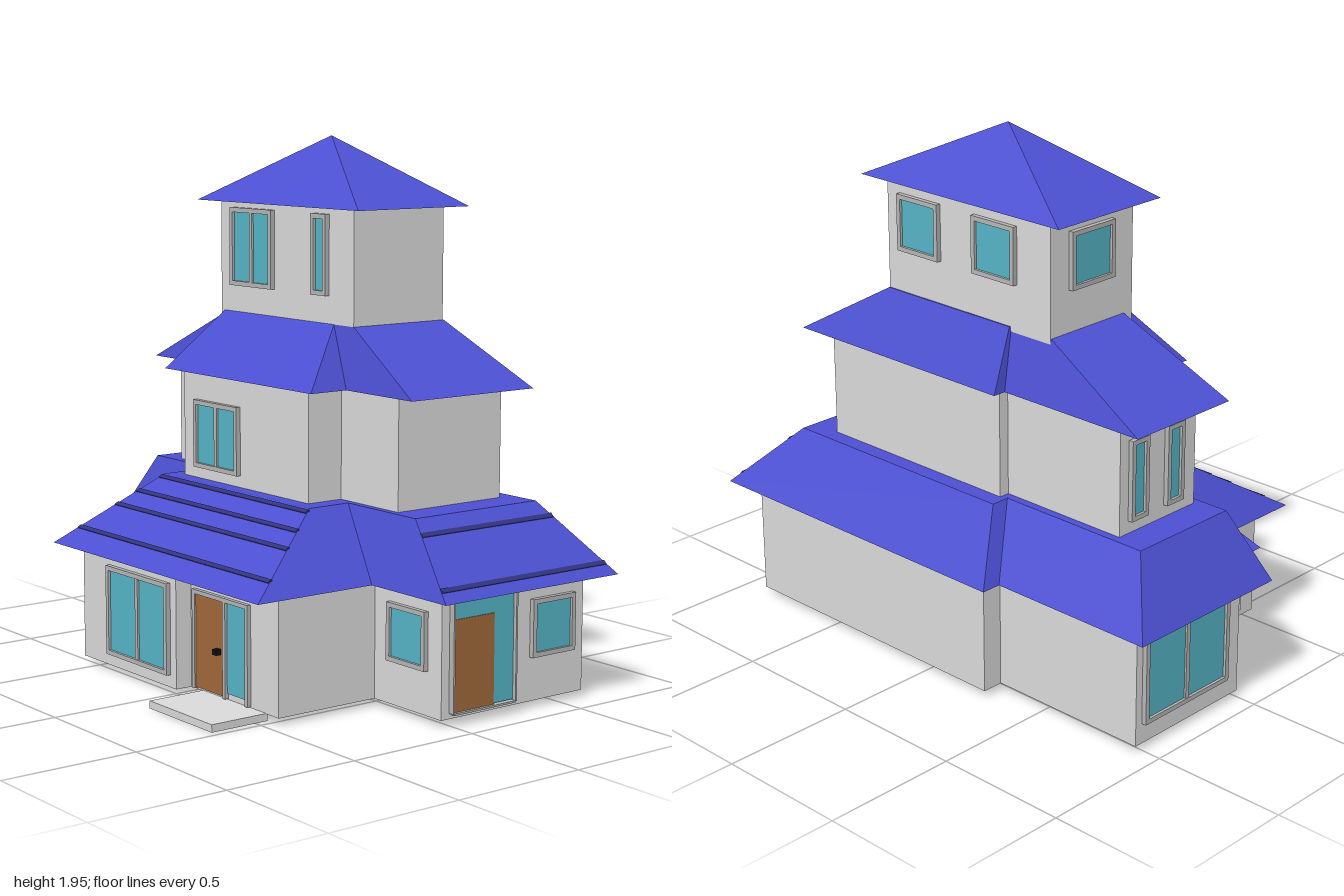
import * as THREE from 'three';

const mat = (name, hex) => {
  const m = new THREE.MeshStandardMaterial({ color: hex });
  m.name = name;
  return m;
};

export function createModel() {
  const wall = mat('pale wall', 0xdadada);
  const roof = mat('blue roof', 0x4c50d2);
  const seam = mat('dark roof seam', 0x32347f);
  const soffit = mat('gold soffit', 0xb89010);
  const frame = mat('grey frame', 0xb6b6b6);
  const glass = mat('teal glass', 0x56b4c6);
  const wood = mat('brown door', 0xa0683a);
  const black = mat('black handle', 0x111111);

  const model = new THREE.Group();
  model.name = 'house';

  const add = (parent, name, geo, material) => {
    const m = new THREE.Mesh(geo, material);
    m.name = name;
    parent.add(m);
    return m;
  };

  // Box given by its limits on each axis
  const block = (parent, name, material, x0, x1, y0, y1, z0, z1) => {
    const m = add(parent, name, new THREE.BoxGeometry(x1 - x0, y1 - y0, z1 - z0), material);
    m.position.set((x0 + x1) / 2, (y0 + y1) / 2, (z0 + z1) / 2);
    return m;
  };

  // Hipped roof: eave rectangle below, smaller rectangle (or point) above.
  // Rectangles are [x0, x1, z0, z1]; the underside may have its own colour.
  const hip = (name, y0, y1, eave, top, under = roof) => {
    const geo = new THREE.BoxGeometry(1, 1, 1);
    const p = geo.attributes.position;
    for (let i = 0; i < p.count; i++) {
      const up = p.getY(i) > 0;
      const r = up ? top : eave;
      p.setXYZ(i, p.getX(i) < 0 ? r[0] : r[1], up ? y1 : y0, p.getZ(i) < 0 ? r[2] : r[3]);
    }
    const flat = geo.toNonIndexed();
    flat.computeVertexNormals();
    // toNonIndexed keeps triangles in box order, six vertices to each face
    flat.clearGroups();
    for (let f = 0; f < 6; f++) flat.addGroup(f * 6, 6, f === 3 ? 1 : 0);
    // both triangles of a face share the normal of the larger one
    const n = flat.attributes.normal;
    for (let f = 0; f < 6; f++) {
      const a = f * 6;
      const src = n.getX(a) ** 2 + n.getY(a) ** 2 + n.getZ(a) ** 2 > 0.5 ? a : a + 3;
      for (let k = 0; k < 6; k++) n.setXYZ(a + k, n.getX(src), n.getY(src), n.getZ(src));
    }
    return add(model, name, flat, [roof, under]);
  };

  // Group on a wall, with its own +z pointing out of the wall
  const turns = { front: 0, right: Math.PI / 2, back: Math.PI, left: -Math.PI / 2 };
  const onWall = (name, side, x, y, z) => {
    const g = new THREE.Group();
    g.name = name;
    g.position.set(x, y, z);
    g.rotation.y = turns[side];
    model.add(g);
    return g;
  };

  // Framed window with evenly split panes
  const windowUnit = (name, side, x, y, z, w, h, panes = 1) => {
    const g = onWall(name, side, x, y, z);
    const b = 0.017, d = 0.018;
    block(g, 'glass', glass, -w / 2 + b, w / 2 - b, -h / 2 + b, h / 2 - b, 0, 0.008);
    for (const s of [-1, 1]) {
      const fx = s * (w - b) / 2, fy = s * (h - b) / 2;
      block(g, 'frameSide', frame, fx - b / 2, fx + b / 2, -h / 2, h / 2, -0.005, d);
      block(g, 'frameRail', frame, -w / 2 + b, w / 2 - b, fy - b / 2, fy + b / 2, -0.005, d);
    }
    for (let i = 1; i < panes; i++) {
      const mx = -w / 2 + (w * i) / panes;
      block(g, 'mullion', frame, mx - b / 2, mx + b / 2, -h / 2 + b, h / 2 - b, 0, d - 0.003);
    }
    return g;
  };

  // Ground floor walls
  block(model, 'groundFrontWalls', wall, -0.04, 0.61, 0.025, 0.455, -0.29, 0.89);
  block(model, 'groundBackWalls', wall, 0, 0.53, 0.025, 0.455, -0.92, -0.28);
  block(model, 'wingWalls', wall, -0.52, -0.03, 0.025, 0.455, -0.57, 0.03);
  block(model, 'wingPorchWalls', wall, -0.455, -0.03, 0.025, 0.455, 0.02, 0.54);
  block(model, 'doorStep', wall, -0.68, -0.45, 0, 0.027, 0.1, 0.47);

  // Ground floor roofs
  hip('groundFrontRoof', 0.45, 0.69, [-0.12, 0.67, -0.35, 1.0], [-0.04, 0.51, -0.24, 0.75], soffit);
  hip('groundBackRoof', 0.45, 0.69, [-0.075, 0.595, -1.0, -0.2], [0, 0.44, -0.85, -0.2], soffit);
  hip('wingRoof', 0.45, 0.69, [-0.6, 0.1, -0.65, 0.62], [-0.21, 0.1, -0.49, 0.39], soffit);

  // Seams along the wing slope and the front slope
  for (const x of [-0.51, -0.38, -0.305, -0.225]) {
    const t = (x + 0.6) / 0.39;
    const z0 = -0.65 + 0.16 * t, z1 = 0.62 - 0.23 * t;
    const s = add(model, 'wingRoofSeam', new THREE.BoxGeometry(0.018, 0.006, z1 - z0), seam);
    s.position.set(x, 0.45 + 0.24 * t, (z0 + z1) / 2);
    s.rotation.z = Math.atan2(0.24, 0.39);
  }
  for (const z of [0.8, 0.96]) {
    const t = (1 - z) / 0.25;
    const x0 = -0.12 + 0.08 * t, x1 = 0.67 - 0.16 * t;
    const s = add(model, 'frontRoofSeam', new THREE.BoxGeometry(x1 - x0, 0.006, 0.018), seam);
    s.position.set((x0 + x1) / 2, 0.45 + 0.24 * t, z);
    s.rotation.x = Math.atan2(0.24, 0.25);
  }

  // Second floor walls and roofs
  block(model, 'secondFrontWalls', wall, -0.015, 0.45, 0.68, 1.1, -0.215, 0.63);
  block(model, 'secondBackWalls', wall, 0.03, 0.41, 0.68, 1.1, -0.73, -0.2);
  block(model, 'secondWingWalls', wall, -0.16, 0, 0.68, 1.1, -0.43, 0.32);
  hip('secondFrontRoof', 1.085, 1.3, [-0.05, 0.5, -0.24, 0.74], [-0.01, 0.4, -0.215, 0.38]);
  hip('secondBackRoof', 1.085, 1.3, [-0.01, 0.45, -0.84, -0.1], [0.03, 0.39, -0.4, -0.1]);
  hip('secondWingRoof', 1.085, 1.3, [-0.205, 0.1, -0.49, 0.39], [-0.01, 0.1, -0.38, 0.27]);

  // Third floor walls and pyramid roof
  block(model, 'thirdWalls', wall, -0.01, 0.395, 1.25, 1.71, -0.4, 0.38);
  hip('topRoof', 1.705, 1.945, [-0.065, 0.435, -0.475, 0.47], [0.222, 0.222, -0.04, -0.04], wall);

  // Front entrance: door, side light and transom in one frame
  const entry = onWall('frontEntrance', 'front', 0, 0, 0.89);
  block(entry, 'door', wood, 0, 0.185, 0.045, 0.365, 0, 0.012);
  block(entry, 'sideLight', glass, 0.185, 0.275, 0.05, 0.365, 0, 0.009);
  block(entry, 'transom', glass, 0, 0.275, 0.365, 0.425, 0, 0.009);
  for (const x of [-0.006, 0.275]) block(entry, 'jamb', frame, x, x + 0.007, 0.045, 0.435, 0, 0.023);
  block(entry, 'lintel', frame, 0, 0.275, 0.428, 0.435, 0, 0.023);
  block(entry, 'sill', frame, 0, 0.275, 0.04, 0.047, 0, 0.023);

  // Wing porch door, side light and handle
  block(model, 'porchDoor', wood, -0.464, -0.45, 0.035, 0.37, 0.07, 0.235);
  block(model, 'porchSideLight', glass, -0.462, -0.45, 0.05, 0.37, 0.255, 0.365);
  for (const z of [0.055, 0.237, 0.367])
    block(model, 'porchFrame', frame, -0.47, -0.45, 0.03, 0.385, z, z + 0.016);
  block(model, 'porchLintel', frame, -0.47, -0.45, 0.37, 0.385, 0.055, 0.383);
  block(model, 'porchHandle', black, -0.486, -0.46, 0.18, 0.2, 0.2, 0.222);

  // Ground floor windows
  windowUnit('frontWindow', 'front', 0.46, 0.283, 0.89, 0.2, 0.205);
  windowUnit('groundBackWindow', 'back', 0.285, 0.265, -0.92, 0.43, 0.33, 2);
  windowUnit('wingWindow', 'left', -0.52, 0.235, -0.2, 0.39, 0.33, 2);
  windowUnit('frontSideWindow', 'left', -0.04, 0.283, 0.72, 0.2, 0.205);

  // Bay window behind the wing, with its own small roof
  block(model, 'bayBase', wall, -0.37, -0.145, 0.1, 0.17, -0.635, -0.56);
  windowUnit('bayWindow', 'back', -0.257, 0.27, -0.57, 0.225, 0.2, 2);
  hip('bayRoof', 0.37, 0.45, [-0.385, -0.13, -0.705, -0.56], [-0.33, -0.185, -0.6, -0.56]);

  // Second floor windows
  windowUnit('secondWingWindow', 'left', -0.16, 0.857, -0.215, 0.27, 0.25, 2);
  for (const x of [0.145, 0.325])
    windowUnit('secondBackWindow', 'back', x, 0.88, -0.73, 0.085, 0.29);

  // Third floor windows
  for (const z of [0.218, -0.147])
    windowUnit('thirdRightWindow', 'right', 0.395, 1.557, z, 0.2, 0.205);
  windowUnit('thirdBackWindow', 'back', 0.2, 1.553, -0.4, 0.21, 0.205);
  windowUnit('thirdLeftWindow', 'left', -0.01, 1.54, -0.2, 0.25, 0.285, 2);
  windowUnit('thirdLeftNarrowWindow', 'left', -0.01, 1.54, 0.2, 0.085, 0.285);

  return model;
}
